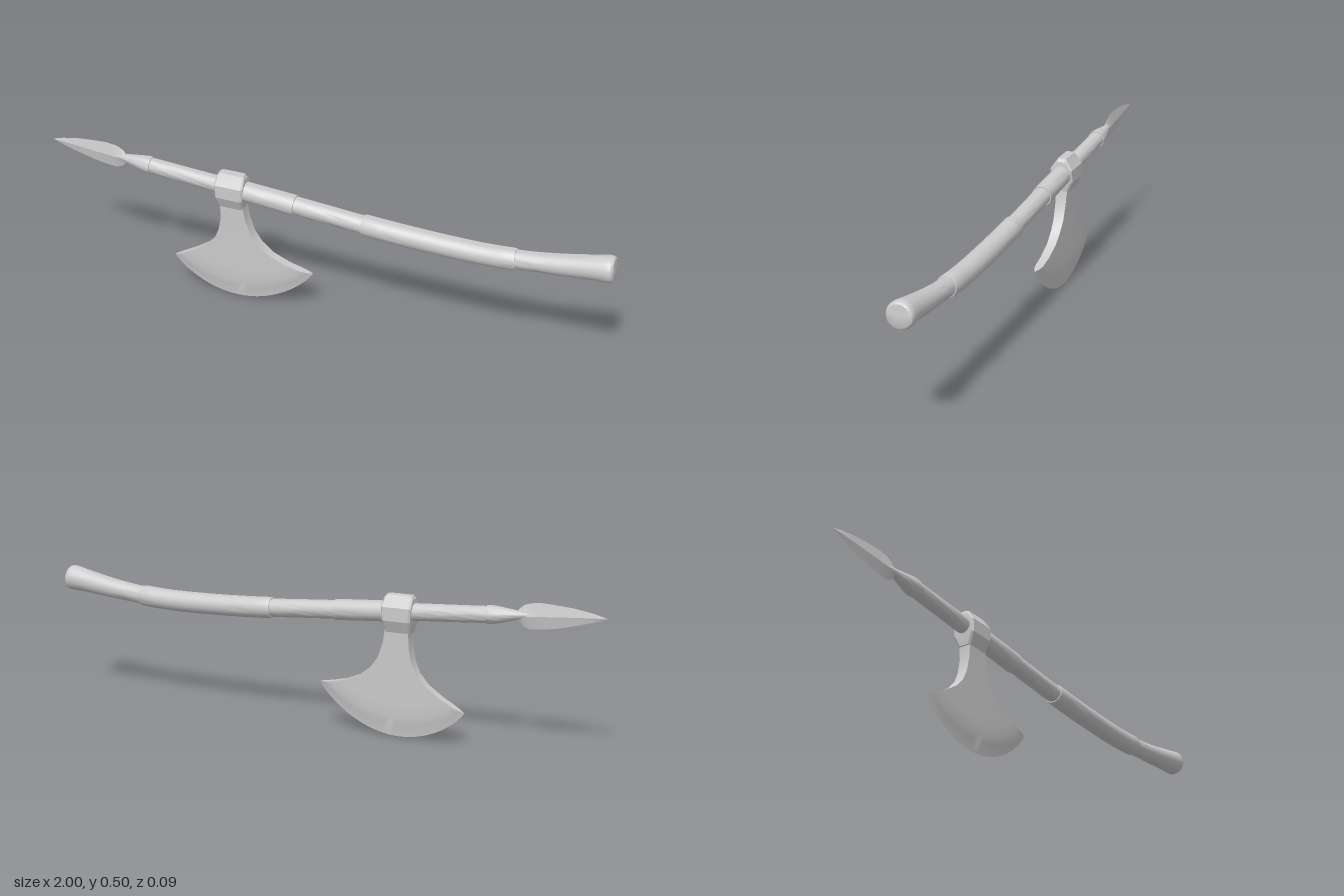
import * as THREE from 'three';
import { toCreasedNormals } from 'three/addons/utils/BufferGeometryUtils.js';

const V = (x, y, z) => new THREE.Vector3(x, y, z);
const material = new THREE.MeshStandardMaterial({ color: 0xcccccc });

// Skins a row of closed cross-sections and caps both ends.
function loft(name, rings, crease) {
  const n = rings[0].length, points = rings.flat(), index = [];
  for (let i = 0; i < rings.length - 1; i++) {
    for (let k = 0; k < n; k++) {
      const a = i * n + k, b = i * n + (k + 1) % n;
      index.push(a, b, b + n, a, b + n, a + n);
    }
  }
  const last = (rings.length - 1) * n;
  for (const start of [0, last]) {
    const centre = V(0, 0, 0);
    for (let k = 0; k < n; k++) centre.addScaledVector(points[start + k], 1 / n);
    const c = points.push(centre) - 1;
    for (let k = 0; k < n; k++) {
      const a = start + k, b = start + (k + 1) % n;
      if (start) index.push(c, a, b); else index.push(c, b, a);
    }
  }
  const geometry = new THREE.BufferGeometry().setFromPoints(points);
  geometry.setIndex(index);
  const mesh = new THREE.Mesh(toCreasedNormals(geometry, crease), material);
  mesh.name = name;
  return mesh;
}

// Bowed centreline of the handle, sampled every 0.2 along x.
const bow = new THREE.SplineCurve(
  [0.457, 0.442, 0.428, 0.414, 0.399, 0.384, 0.375, 0.374, 0.391, 0.417]
    .map((y, i) => new THREE.Vector2(-0.8 + i * 0.2, y)));
const centreY = x => bow.getPoint(THREE.MathUtils.clamp((x + 0.8) / 1.8, 0, 1)).y;

// Round handle section from [x, radius] stations, square to the centreline.
function handlePart(name, stations) {
  const rings = [];
  const addRing = (x, r) => {
    const slope = Math.atan2(centreY(x) - centreY(x - 0.01), 0.01);
    const ring = [];
    for (let k = 0; k < 24; k++) {
      const a = k / 24 * Math.PI * 2, h = r * Math.cos(a);
      ring.push(V(x - h * Math.sin(slope), centreY(x) + h * Math.cos(slope), r * Math.sin(a)));
    }
    rings.push(ring);
  };
  stations.forEach(([x, r], i) => {
    if (i) {
      const [px, pr] = stations[i - 1], steps = Math.ceil((x - px) / 0.06);
      for (let s = 1; s < steps; s++) {
        addRing(px + (x - px) * s / steps, pr + (r - pr) * s / steps);
      }
    }
    addRing(x, r);
  });
  return loft(name, rings, 0.6);
}

// Leaf-shaped point with a diamond section: x, top, bottom, half thickness.
function spearHead() {
  const stations = [
    [-1, 0.469, 0.467, 0.0005], [-0.96, 0.48, 0.453, 0.003], [-0.9, 0.49, 0.436, 0.005],
    [-0.84, 0.495, 0.421, 0.007], [-0.79, 0.497, 0.413, 0.008], [-0.755, 0.493, 0.41, 0.009],
    [-0.735, 0.486, 0.416, 0.01], [-0.72, 0.474, 0.428, 0.01], [-0.708, 0.459, 0.443, 0.01],
  ];
  return loft('spearHead', stations.map(([x, top, bottom, t]) => {
    const mid = (top + bottom) / 2;
    return [V(x, top, 0), V(x, mid, t), V(x, bottom, 0), V(x, mid, -t)];
  }), 0.25);
}

// Flared blade: rows run from the left side to the right side and sag
// increasingly toward the cutting edge.
function axeBlade() {
  // left x, y, right x, y, sag, half thickness
  const rows = [
    [-0.355, 0.41, -0.268, 0.41, 0, 0.022], [-0.35, 0.355, -0.266, 0.36, 0, 0.021],
    [-0.35, 0.31, -0.258, 0.315, 0.002, 0.019], [-0.36, 0.26, -0.24, 0.265, 0.006, 0.018],
    [-0.378, 0.22, -0.212, 0.228, 0.014, 0.017], [-0.41, 0.185, -0.17, 0.195, 0.028, 0.016],
    [-0.46, 0.152, -0.11, 0.171, 0.05, 0.015], [-0.505, 0.128, -0.06, 0.16, 0.073, 0.014],
    [-0.525, 0.118, -0.038, 0.157, 0.095, 0.0095], [-0.543, 0.11, -0.018, 0.155, 0.13, 0.0002],
  ];
  const n = 20;
  return loft('axeBlade', rows.map(([lx, ly, rx, ry, sag, t]) => {
    const at = (u, z) => V(lx + (rx - lx) * u,
      ly + (ry - ly) * u - sag * Math.pow(4 * u * (1 - u), 0.85), z);
    const ring = [];
    for (let i = n; i >= 0; i--) ring.push(at(i / n, t));
    for (let i = 0; i <= n; i++) ring.push(at(i / n, -t));
    return ring;
  }), 0.5);
}

// Chamfered block clasping the handle: y, half width, half depth.
function axeCollar() {
  const levels = [[0.355, 0.044, 0.022], [0.395, 0.05, 0.04],
    [0.44, 0.053, 0.04], [0.468, 0.05, 0.021], [0.478, 0.044, 0.015]];
  return loft('axeCollar', levels.map(([y, w, d]) => {
    const x = -0.311, c = 0.006;
    return [V(x - w + c, y, d), V(x + w - c, y, d), V(x + w, y, d - c), V(x + w, y, c - d),
      V(x + w - c, y, -d), V(x - w + c, y, -d), V(x - w, y, c - d), V(x - w, y, d - c)];
  }), 0.2);
}

export function createModel() {
  const group = new THREE.Group();
  group.name = 'battleAxe';
  group.add(
    spearHead(),
    handlePart('spearSocket', [[-0.78, 0.004], [-0.72, 0.013], [-0.655, 0.026],
      [-0.63, 0.03], [-0.615, 0.03]]),
    handlePart('foreShaft', [[-0.62, 0.027], [-0.25, 0.029]]),
    handlePart('sleeve', [[-0.3, 0.034], [-0.08, 0.035]]),
    handlePart('midShaft', [[-0.09, 0.031], [0.18, 0.031]]),
    handlePart('grip', [[0.16, 0.034], [0.168, 0.036], [0.675, 0.036], [0.683, 0.034]]),
    handlePart('pommel', [[0.67, 0.031], [0.75, 0.032], [0.85, 0.036], [0.93, 0.04],
      [0.972, 0.044], [0.985, 0.044], [0.992, 0.041], [0.996, 0.035]]),
    axeCollar(),
    axeBlade(),
  );
  return group;
}
